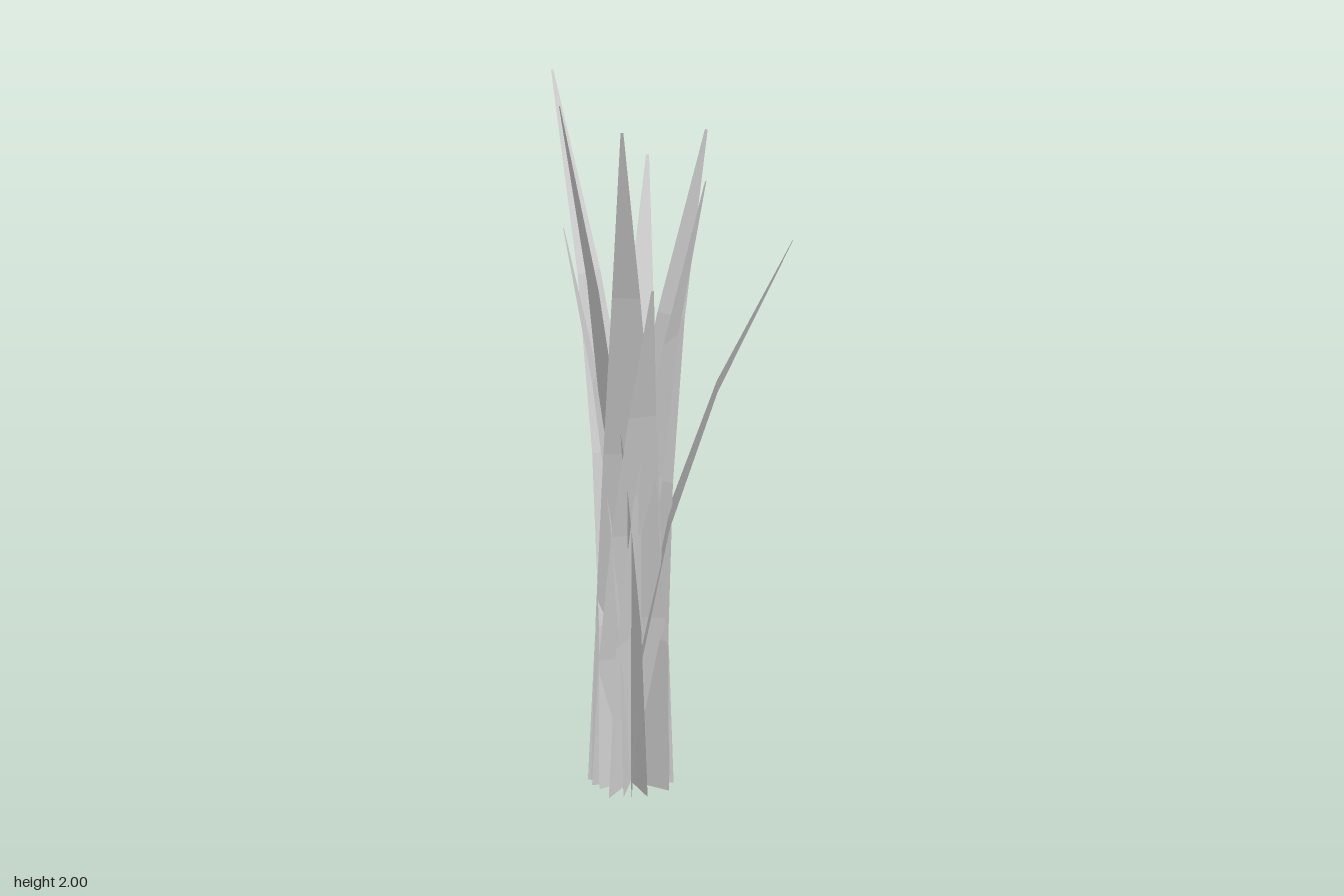
import * as THREE from 'three';

const blade = new THREE.MeshStandardMaterial({ color: 0xcccccc, flatShading: true, side: THREE.DoubleSide });
blade.name = 'bladeGrey';

// Shared root of the tuft
const ROOT = { x: -0.025, z: 0.07 };

// A flat strip that tapers upward and bends away from the root towards its tip
function makeBlade(tipX, height, tipZ, halfWidth) {
  const dx = tipX - ROOT.x, dz = tipZ - ROOT.z;
  const reach = Math.hypot(dx, dz);
  const sideX = -dz / reach, sideZ = dx / reach;
  const levels = [0, 0.24, 0.485, 0.73, 1];
  const pos = [], index = [];
  levels.forEach((s, i) => {
    const lean = s * s;
    const w = halfWidth * Math.max(1 - Math.pow(s, 1.4), 0.035);
    for (const k of [-1, 1]) {
      pos.push(ROOT.x + dx * lean + k * w * sideX, height * s, ROOT.z + dz * lean + k * w * sideZ);
    }
    if (i > 0) {
      const a = 2 * (i - 1);
      index.push(a, a + 2, a + 1, a + 1, a + 2, a + 3);
    }
  });
  const geo = new THREE.BufferGeometry();
  geo.setAttribute('position', new THREE.Float32BufferAttribute(pos, 3));
  geo.setIndex(index);
  geo.computeVertexNormals();
  return new THREE.Mesh(geo, blade);
}

export function createModel() {
  const tuft = new THREE.Group();
  tuft.name = 'grassTuft';

  // Tip x, height, tip z, half width at the root
  const blades = [
    [0.09, 2.0, 0.355, 0.105],
    [-0.157, 1.975, 0.225, 0.112],
    [-0.354, 1.9, -0.13, 0.098],
    [0.196, 1.77, 0.073, 0.127],
    [0.01, 1.73, -0.307, 0.118],
    [-0.186, 1.6, -0.355, 0.113],
    [-0.197, 1.575, 0.12, 0.11],
    [0.352, 1.55, -0.128, 0.105],
    [0.123, 1.505, 0.24, 0.105],
  ];
  blades.forEach((b, i) => {
    const mesh = makeBlade(...b);
    mesh.name = `grassBlade${i + 1}`;
    tuft.add(mesh);
  });
  return tuft;
}
